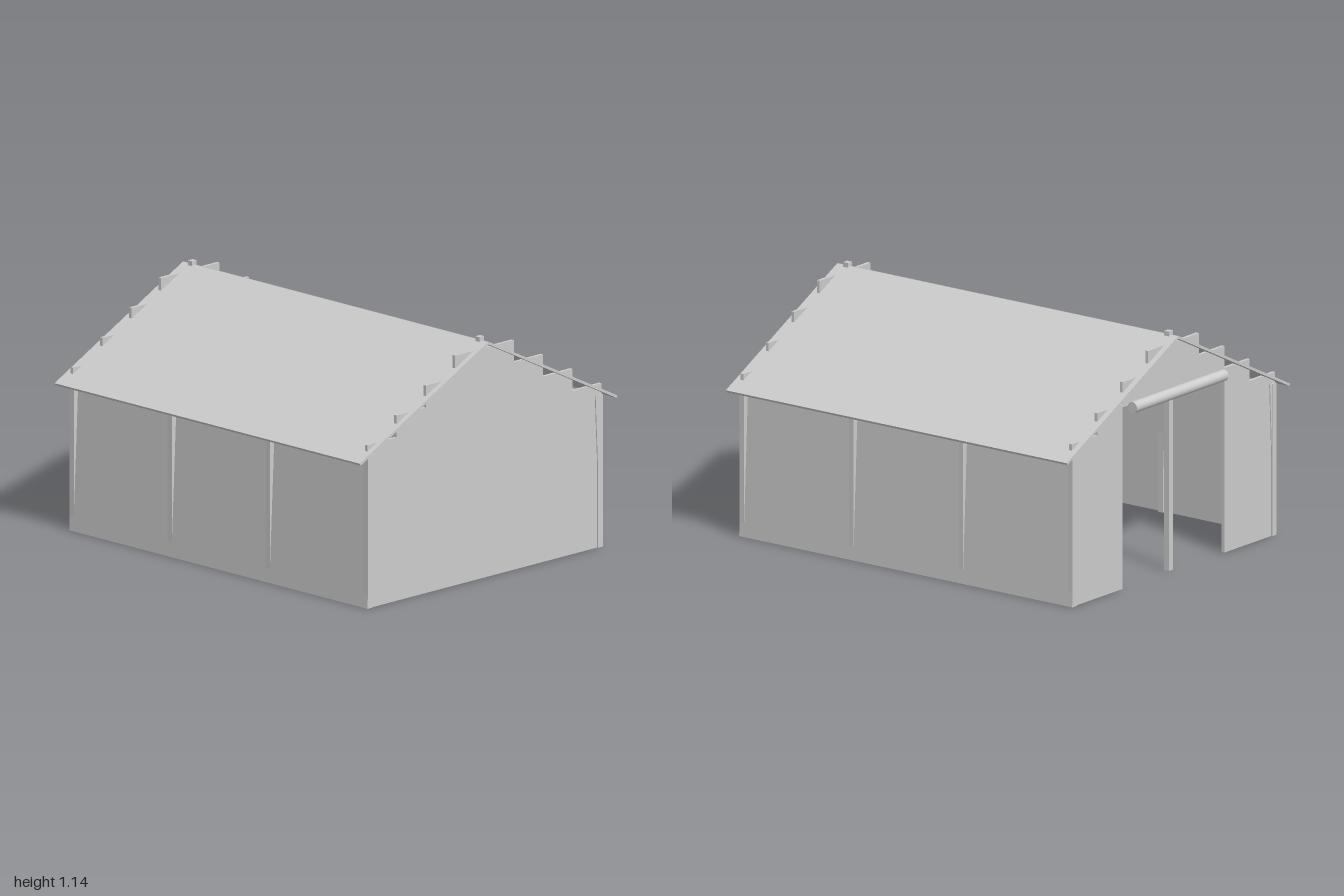
import * as THREE from 'three';

export function createModel() {
  const model = new THREE.Group();
  const grey = new THREE.MeshStandardMaterial({ color: 0xcccccc });
  grey.name = 'plain grey';

  const add = (name, geometry, x = 0, y = 0, z = 0) => {
    const mesh = new THREE.Mesh(geometry, grey);
    mesh.name = name;
    mesh.position.set(x, y, z);
    model.add(mesh);
    return mesh;
  };

  const FRONT = 0.965, BACK = -0.938, THICK = 0.016;
  const STEP = 0.19, POST = 0.03;

  // End wall with a stepped gable, optionally with a doorway cut from the bottom
  const endWall = (doorHalf, doorTop) => {
    const shape = new THREE.Shape();
    shape.moveTo(-4 * STEP, 0);
    for (let i = 0; i < 8; i++) {
      const y = 0.775 + 0.105 * Math.min(i, 7 - i);
      shape.lineTo((i - 4) * STEP, y);
      shape.lineTo((i - 3) * STEP, y);
    }
    shape.lineTo(4 * STEP, 0);
    if (doorHalf) {
      shape.lineTo(doorHalf, 0);
      shape.lineTo(doorHalf, doorTop);
      shape.lineTo(-doorHalf, doorTop);
      shape.lineTo(-doorHalf, 0);
    }
    const geometry = new THREE.ExtrudeGeometry(shape, { depth: THICK, bevelEnabled: false });
    return geometry.translate(0, 0, -THICK / 2);
  };
  add('frontWall', endWall(), 0, 0, FRONT);
  add('backWall', endWall(2 * STEP, 0.865), 0, 0, BACK);

  // Ridge posts just inside the end walls
  for (const z of [FRONT - 0.023, BACK + 0.021]) {
    add('ridgePost', new THREE.BoxGeometry(POST, 1.14, 0.027), 0, 0.57, z);
  }

  // Side walls lean slightly inward past the upright posts
  const wallHeight = 0.725, lean = 0.045;
  const roofRun = 0.833, roofDrop = 0.416;
  for (const side of [-1, 1]) {
    const wall = new THREE.BoxGeometry(THICK, wallHeight, 1.929);
    wall.translate(0, wallHeight / 2, 0);
    const p = wall.attributes.position;
    for (let i = 0; i < p.count; i++) p.setX(i, p.getX(i) - side * lean * p.getY(i));
    wall.computeVertexNormals();
    add('sideWall', wall, side * 0.756, 0, 0.0135);

    for (let i = 0; i < 4; i++) {
      const z = THREE.MathUtils.lerp(FRONT, BACK, i / 3);
      add('sidePost', new THREE.BoxGeometry(POST, wallHeight, 0.028), side * 0.746, wallHeight / 2, z);
    }

    // Roof slope from the ridge to the eave
    const roof = add('roofPanel',
      new THREE.BoxGeometry(Math.hypot(roofRun, roofDrop), 0.012, 1.975),
      side * roofRun / 2, 1.118 - roofDrop / 2, 0.0125);
    roof.rotation.z = -side * Math.atan2(roofDrop, roofRun);
  }

  // Rolled-up door curtain above the opening
  const roll = new THREE.CylinderGeometry(0.027, 0.027, 0.684, 24);
  roll.rotateZ(Math.PI / 2);
  add('doorRoll', roll, 0, 0.86, -0.973);

  return model;
}
